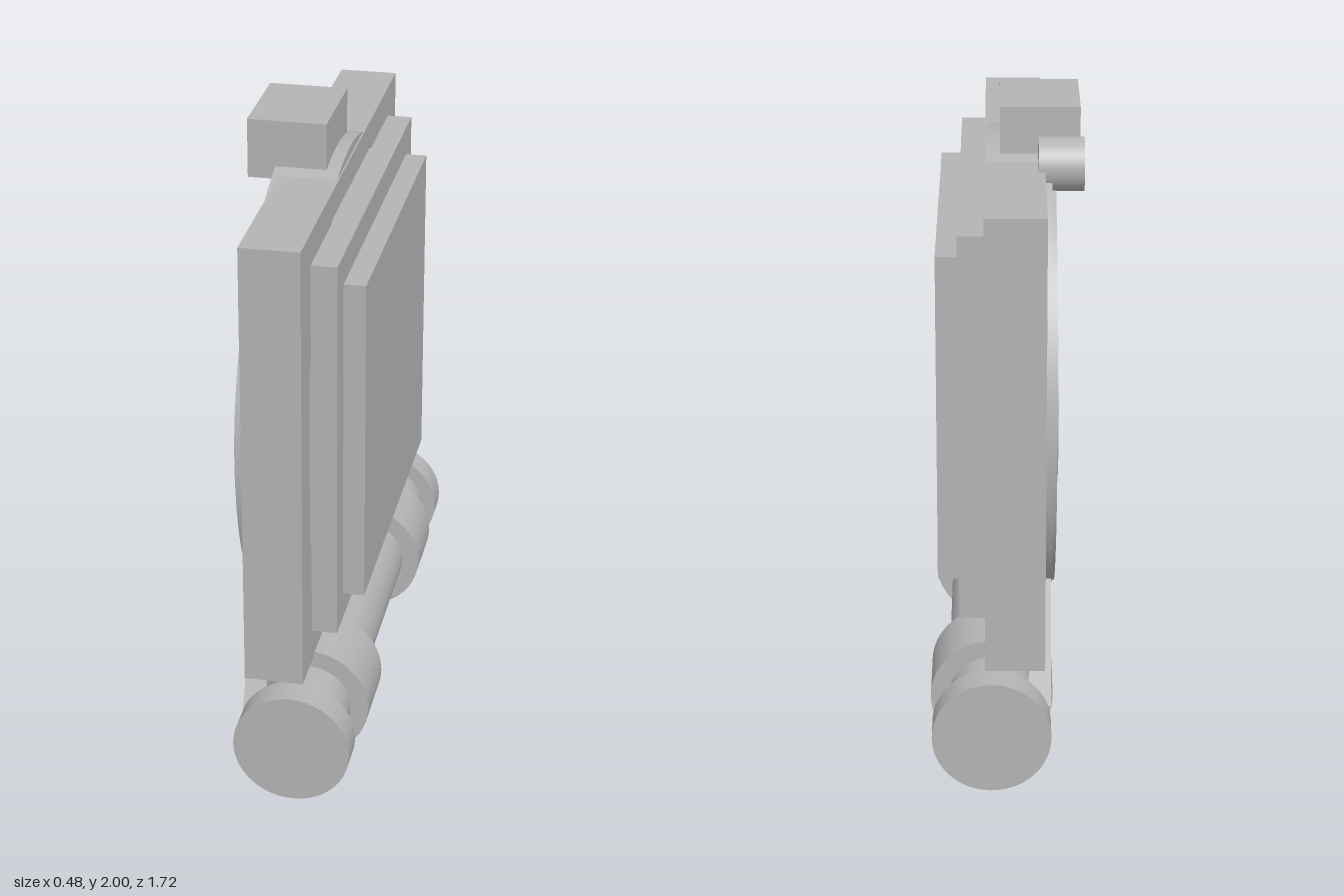
import * as THREE from 'three';
import { toCreasedNormals } from 'three/addons/utils/BufferGeometryUtils.js';

export function createModel() {
  const model = new THREE.Group();
  model.name = 'model';
  const grey = new THREE.MeshStandardMaterial({ color: 0xb4b4b4 });
  grey.name = 'grey';

  const CY = 1.11; // height of the dial centre

  function add(name, geometry) {
    const mesh = new THREE.Mesh(geometry, grey);
    mesh.name = name;
    model.add(mesh);
    return mesh;
  }

  // box given by its limits
  function box(name, x0, x1, y0, y1, z0, z1) {
    add(name, new THREE.BoxGeometry(x1 - x0, y1 - y0, z1 - z0))
      .position.set((x0 + x1) / 2, (y0 + y1) / 2, (z0 + z1) / 2);
  }

  // shape drawn in (z, y), extruded from x0 towards -x until x1
  function plate(name, shape, x0, x1, y = CY, z = 0) {
    const g = new THREE.ExtrudeGeometry(shape, { depth: x0 - x1, bevelEnabled: false, curveSegments: 64 });
    g.rotateY(-Math.PI / 2);
    add(name, toCreasedNormals(g, 0.5)).position.set(x0, y, z);
  }

  const circle = (r, u = 0, v = 0) => new THREE.Shape().absarc(u, v, r, 0, Math.PI * 2, false);
  function polygon(points) {
    return new THREE.Shape(points.map(([u, v]) => new THREE.Vector2(u, v)));
  }

  // cylinder lying along z
  function rod(name, r, z0, z1) {
    const g = new THREE.CylinderGeometry(r, r, z1 - z0, 64);
    g.rotateX(Math.PI / 2);
    add(name, g).position.set(0.045, 0.195, (z0 + z1) / 2);
  }

  // square body with a round opening for the dial, and stepped panels
  const body = polygon([[-0.77, -0.73], [0.77, -0.73], [0.77, 0.73], [-0.77, 0.73]]);
  body.holes.push(circle(0.71));
  plate('body', body, 0.065, -0.12);
  box('lowerPanel', 0.06, 0.145, 0.49, 1.74, -0.63, 0.63);
  box('upperPanel', 0.14, 0.213, 0.58, 1.645, -0.535, 0.535);

  // round dial: solid back, slotted face, raised rim
  const holeZ = 0.305, holeY = 0.195, holeR = 0.075, slot = 0.03, slotEnd = 0.68;
  const buttonHoles = () => [[1, 1], [1, -1], [-1, 1], [-1, -1]]
    .map(([a, b]) => circle(holeR, a * holeZ, b * holeY));

  const back = circle(0.76);
  back.holes.push(...buttonHoles());
  plate('dialBack', back, 0.06, -0.09);

  const face = circle(0.76);
  face.holes.push(...buttonHoles(),
    polygon([[-slot, -slotEnd], [slot, -slotEnd], [slot, slotEnd], [-slot, slotEnd]]));
  plate('dialFace', face, -0.09, -0.142);

  const inner = 0.6, a = Math.asin(slot / inner), q = Math.PI / 2;
  const opening = new THREE.Path();
  opening.absarc(0, 0, inner, -q + a, q - a, false);
  opening.lineTo(slot, slotEnd);
  opening.lineTo(-slot, slotEnd);
  opening.absarc(0, 0, inner, q + a, 3 * q - a, false);
  opening.lineTo(-slot, -slotEnd);
  opening.lineTo(slot, -slotEnd);
  const rim = circle(0.715);
  rim.holes.push(opening);
  plate('dialRim', rim, -0.142, -0.154);

  for (const side of [-1, 1]) {
    // raised round plate with two holes
    const disc = circle(0.277);
    disc.holes.push(circle(holeR, 0, holeY), circle(holeR, 0, -holeY));
    plate('roundPlate', disc, -0.142, -0.16, CY, side * holeZ);

    // slanted strut down to the roller
    const strut = [[0.72, 0.23], [0.51, 0.68], [0.36, 0.62], [0.585, 0.23]];
    plate('strut', polygon(strut.map(([u, v]) => [u * side, v])), -0.07, -0.14, 0);

    // roller collars and end caps
    const span = (n, f) => side > 0 ? [n, f] : [-f, -n];
    rod('collar', 0.193, ...span(0.355, 0.59));
    rod('endCap', 0.184, ...span(0.76, 0.86));
  }
  rod('roller', 0.137, -0.8, 0.8);

  // block and small knob on top
  box('topBlock', -0.23, 0.018, 1.81, 2.0, -0.163, 0.163);
  const knob = new THREE.CylinderGeometry(0.083, 0.083, 0.14, 48);
  knob.rotateZ(Math.PI / 2);
  add('knob', knob).position.set(-0.17, 1.842, -0.236);

  return model;
}
